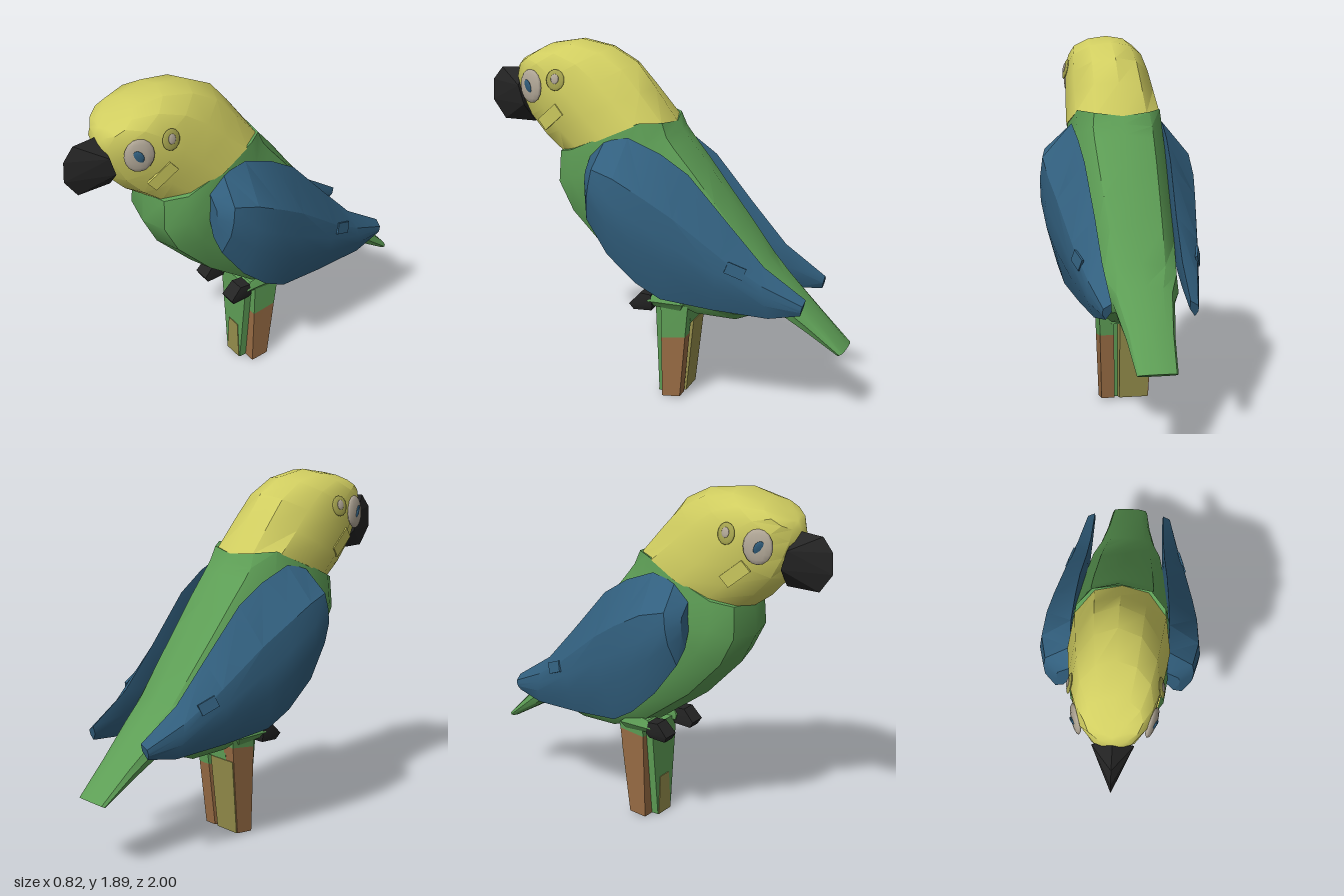
import * as THREE from 'three';
import { toCreasedNormals } from 'three/addons/utils/BufferGeometryUtils.js';
import { ConvexGeometry } from 'three/addons/geometries/ConvexGeometry.js';

const paint = (name, color) => {
  const m = new THREE.MeshStandardMaterial({ color });
  m.name = name;
  return m;
};

// Skin over sections [frontZ, frontY, backZ, backY, halfWidth, centreX, bow].
// The profile lists [t, u]: t runs front to back, u runs across the width.
// A bow lifts the section between its ends, mostly towards the back.
function loft(sections, profile, crease = 0.6) {
  const pos = [], idx = [], n = profile.length, last = sections.length - 1;
  for (const [fz, fy, bz, by, w, cx = 0, bow = 0] of sections)
    for (const [t, u] of profile)
      pos.push(cx + u * w, fy + (by - fy) * t + bow * t ** 3 * (1 - t), fz + (bz - fz) * t);
  for (let s = 0; s < last; s++)
    for (let i = 0; i < n; i++) {
      const j = (i + 1) % n, a = s * n + i, b = s * n + j;
      idx.push(a, b, b + n, a, b + n, a + n);
    }
  for (let i = 1; i < n - 1; i++) {
    idx.push(0, i + 1, i);
    idx.push(last * n, last * n + i, last * n + i + 1);
  }
  // Turn the faces outward if the enclosed volume is negative
  const v = (k) => new THREE.Vector3().fromArray(pos, idx[k] * 3);
  let volume = 0;
  for (let k = 0; k < idx.length; k += 3) volume += v(k).dot(v(k + 1).cross(v(k + 2)));
  if (volume < 0) idx.reverse();
  const g = new THREE.BufferGeometry();
  g.setAttribute('position', new THREE.Float32BufferAttribute(pos, 3));
  g.setIndex(idx);
  return toCreasedNormals(g, crease);
}

// Closed profile: a low power squares it off, a low front value narrows the face
const oval = (power, front) => Array.from({ length: 12 }, (_, i) => {
  const a = (i / 12) * Math.PI * 2;
  const soft = (v) => Math.sign(v) * Math.abs(v) ** power;
  const t = 0.5 - 0.5 * soft(Math.cos(a));
  return [t, soft(Math.sin(a)) * (front + (1 - front) * t)];
});
const BOX = [[0, -1], [0, 1], [1, 1], [1, -1]];
const WING = [[0, 0.25], [0.3, 0.92], [0.5, 1], [0.7, 0.85], [1, -0.9], [0.5, -1]];

export function createModel() {
  const bird = new THREE.Group();
  bird.name = 'parrot';
  const yellow = paint('head yellow', 0xd0cd60);
  const green = paint('body green', 0x5e9f56);
  const blue = paint('wing blue', 0x32607f);
  const black = paint('beak black', 0x242424);
  const brown = paint('post brown', 0x986c44);
  const olive = paint('post olive', 0x968f4c);
  const grey = paint('eye grey', 0xb0a696);
  const dull = paint('ear olive', 0xa5a34e);

  const add = (name, geometry, material) => {
    const m = new THREE.Mesh(geometry, material);
    m.name = name;
    bird.add(m);
    return m;
  };

  // Body running from the tail tip up to the neck
  add('body', loft([
    [-0.96, 0.355, -1.0, 0.375, 0.1],
    [-0.8, 0.45, -0.83, 0.55, 0.12],
    [-0.62, 0.56, -0.66, 0.72, 0.155],
    [-0.42, 0.48, -0.57, 0.82, 0.205],
    [-0.2, 0.48, -0.45, 0.99, 0.225],
    [0.0, 0.55, -0.33, 1.15, 0.24],
    [0.3, 0.77, -0.22, 1.3, 0.253],
    [0.5, 0.98, -0.13, 1.41, 0.26],
    [0.58, 1.14, -0.09, 1.46, 0.26],
    [0.57, 1.31, -0.06, 1.5, 0.245, 0, 0.6],
  ], oval(0.74, 1)), green);

  // Head curling forward over the beak, narrower at the face
  const head = add('head', loft([
    [0.575, 1.3, -0.065, 1.49, 0.268, 0, 0.6],
    [0.67, 1.37, 0.06, 1.665, 0.255, 0, 0.2],
    [0.76, 1.47, 0.16, 1.79, 0.242],
    [0.81, 1.58, 0.3, 1.865, 0.225],
    [0.83, 1.67, 0.47, 1.893, 0.195],
    [0.82, 1.73, 0.64, 1.86, 0.145],
    [0.8, 1.765, 0.74, 1.805, 0.07],
  ], oval(1, 0.88)), yellow);

  // Wedge beak with a sharp central ridge
  const ridge = [[1.72, 0.8], [1.71, 0.94], [1.64, 0.995], [1.53, 1], [1.43, 0.93], [1.43, 0.75]];
  const beakPoints = ridge.map(([y, z]) => new THREE.Vector3(0, y, z));
  for (const x of [-0.1, 0.1])
    beakPoints.push(new THREE.Vector3(x, 1.64, 0.8), new THREE.Vector3(x, 1.54, 0.77));
  add('beak', new ConvexGeometry(beakPoints), black);

  // Lays a detail onto a part, looking in from one side at (z, y)
  const ray = new THREE.Raycaster();
  const lay = (name, target, side, z, y, geometry, material, spin = 0, lift = 0.003) => {
    ray.set(new THREE.Vector3(side * 3, y, z), new THREE.Vector3(-side, 0, 0));
    const hit = ray.intersectObject(target)[0];
    const m = add(name, geometry, material);
    m.position.copy(hit.point).addScaledVector(hit.face.normal, lift);
    m.lookAt(m.position.clone().add(hit.face.normal));
    m.rotateZ(spin * side);
  };
  const disc = (w, h, d) => new THREE.SphereGeometry(1, 12, 8).scale(w, h, d);

  const wingSections = [ // lower edge, upper edge, inner x, outer x
    [-0.8, 0.6, -0.82, 0.68, 0.19, 0.235],
    [-0.64, 0.575, -0.6, 0.83, 0.195, 0.28],
    [-0.35, 0.595, -0.42, 1.03, 0.2, 0.33],
    [-0.08, 0.63, -0.2, 1.28, 0.215, 0.375],
    [0.05, 0.71, -0.05, 1.38, 0.225, 0.4],
    [0.2, 0.85, 0.12, 1.45, 0.235, 0.41],
    [0.32, 1.02, 0.25, 1.42, 0.235, 0.38],
    [0.34, 1.1, 0.33, 1.34, 0.23, 0.31],
  ];

  for (const s of [-1, 1]) {
    const side = s > 0 ? 'left' : 'right';
    // Folded wing with a raised feather
    const wing = add(side + 'Wing', loft(wingSections.map(([fz, fy, bz, by, xi, xo]) =>
      [fz, fy, bz, by, s * (xo - xi) / 2, s * (xi + xo) / 2]), WING, 0.5), blue);
    lay(side + 'WingFeather', wing, s, -0.48, 0.83, new THREE.BoxGeometry(0.1, 0.06, 0.012), blue, -0.4, 0);

    // Eye, ear spot and cheek feather
    lay(side + 'Eye', head, s, 0.685, 1.66, disc(0.075, 0.088, 0.02), grey);
    lay(side + 'Iris', head, s, 0.69, 1.655, disc(0.032, 0.045, 0.01), blue, 0, 0.017);
    lay(side + 'EarSpot', head, s, 0.53, 1.71, disc(0.05, 0.055, 0.01), dull);
    lay(side + 'EarCentre', head, s, 0.53, 1.715, disc(0.022, 0.026, 0.006), grey, 0, 0.012);
    lay(side + 'CheekFeather', head, s, 0.57, 1.51, new THREE.BoxGeometry(0.15, 0.07, 0.012), yellow, s * 0.7, 0);

    // Leg and dark claw gripping the post
    add(side + 'Leg', loft([
      [0.04, 0.52, -0.13, 0.51, 0.035, s * 0.11],
      [0.05, 0.55, -0.15, 0.55, 0.05, s * 0.12],
      [0.02, 0.59, -0.08, 0.61, 0.035, s * 0.12],
    ], BOX), green);
    add(side + 'Claw', loft([
      [0.13, 0.49, 0.03, 0.495, 0.035, s * 0.12],
      [0.15, 0.525, 0.02, 0.525, 0.045, s * 0.125],
      [0.09, 0.59, 0.03, 0.585, 0.04, s * 0.125],
    ], BOX), black);

    // Side column of the post, bark below and green above; the right bark is taller
    const level = s < 0 ? 0.48 : 0.34;
    const mid = [-0.02, level, -0.12 - level * 0.1, level + 0.02, 0.037, s * (0.093 + level * 0.025)];
    add(side + 'PostBark', loft([[-0.02, 0, -0.12, 0.01, 0.035, s * 0.09], mid], BOX), brown);
    add(side + 'PostTop', loft([mid, [-0.02, 0.54, -0.172, 0.54, 0.038, s * 0.108]], BOX), green);
  }

  // Middle of the post, standing proud at the front and widening upwards
  add('postCore', loft([
    [0.02, 0, -0.06, 0, 0.06], [0.02, 0.54, -0.1, 0.54, 0.115],
  ], BOX), green);
  add('postFrontPatch', loft([
    [0.024, 0, 0.016, 0, 0.055], [0.024, 0.22, 0.016, 0.22, 0.04],
  ], BOX), olive);
  // Back of the post: a pale panel set off to one side
  add('postBack', loft([
    [-0.05, 0, -0.124, 0.01, 0.075, -0.045], [-0.05, 0.42, -0.166, 0.42, 0.085, -0.05],
  ], BOX), olive);
  add('postBackTop', loft([
    [-0.05, 0.42, -0.162, 0.42, 0.08], [-0.05, 0.54, -0.168, 0.54, 0.08],
  ], BOX), green);

  return bird;
}
